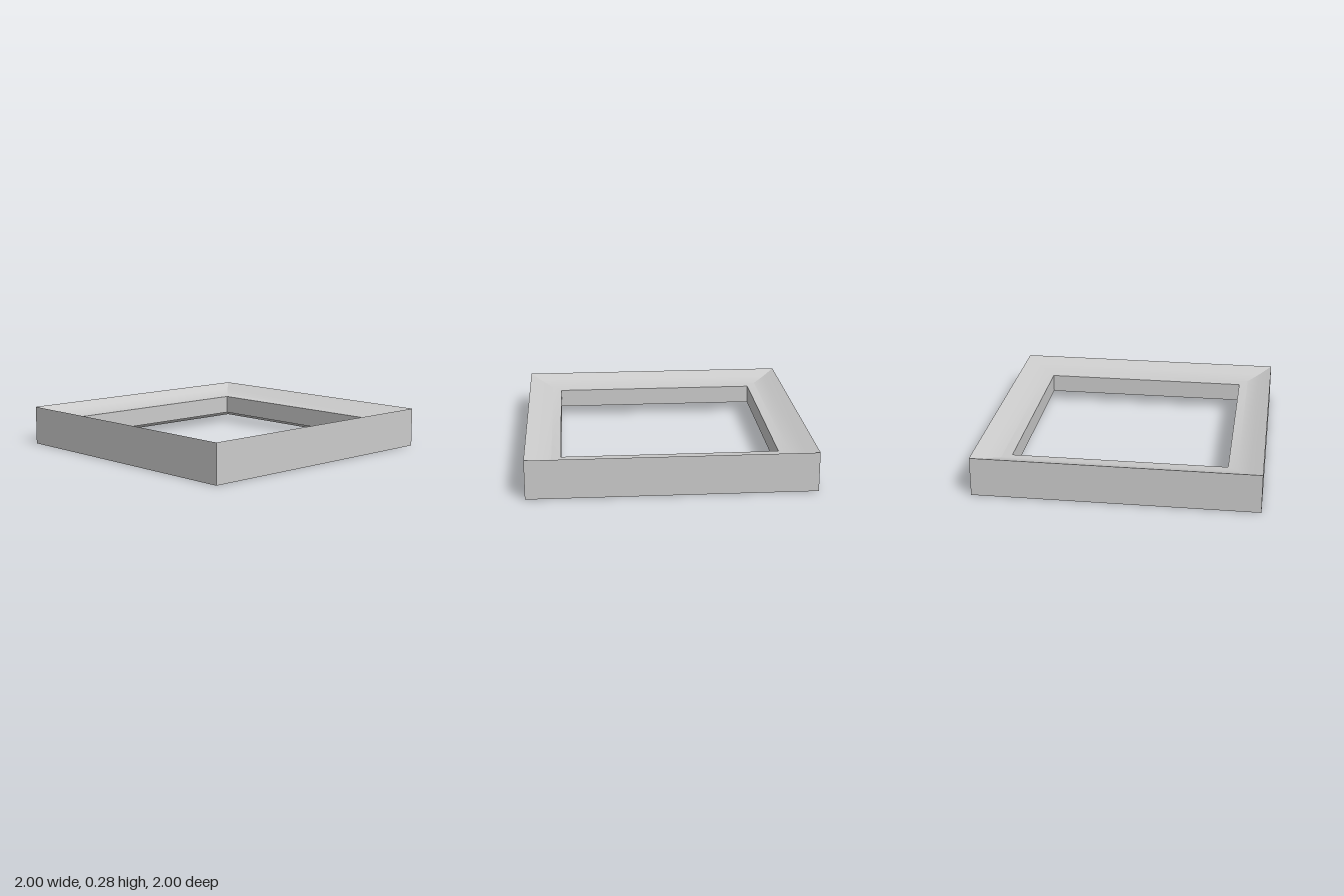
import * as THREE from 'three';
import { toCreasedNormals } from 'three/addons/utils/BufferGeometryUtils.js';

const HEIGHT = 0.28;

export function createModel() {
  const group = new THREE.Group();
  group.name = 'squareFrame';

  // Upper dished face, from the outer rim to the opening: [half-width, height]
  const upper = [[1, 0.28], [0.91, 0.243], [0.82, 0.214], [0.755, 0.207]];
  // The underside mirrors the upper face
  const lower = upper.map(([r, y]) => [r, HEIGHT - y]).reverse();

  // Closed rail section: outer wall, upper face, inner wall, underside
  const section = [[1, 0], ...upper, ...lower]
    .map(([r, y]) => new THREE.Vector2(r * Math.SQRT2, y));

  // Four-sided sweep gives mitred corners
  const geometry = new THREE.LatheGeometry(section, 4).rotateY(Math.PI / 4);
  const frame = new THREE.Mesh(
    toCreasedNormals(geometry, 0.35),
    new THREE.MeshStandardMaterial({ color: 0xcccccc })
  );
  frame.name = 'frame';
  group.add(frame);
  return group;
}
